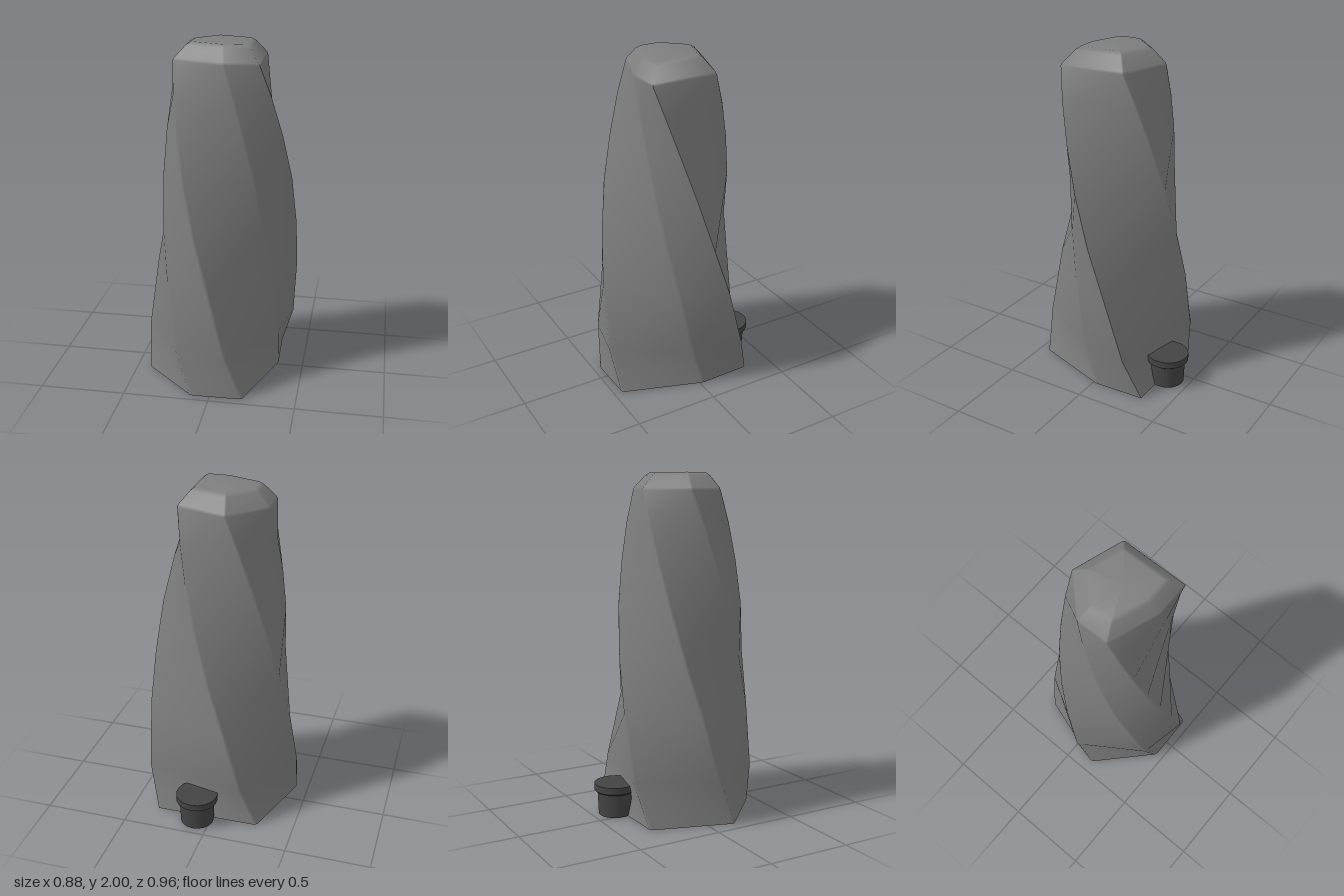
import * as THREE from 'three';
import { toCreasedNormals } from 'three/addons/utils/BufferGeometryUtils.js';

// Six-cornered footprint (x, z), counter-clockwise seen from above
const CORNERS = [[0.37, 0.33], [0.36, -0.29], [-0.11, -0.44], [-0.415, -0.12], [-0.41, 0.18], [0.06, 0.34]];
const AXIS = [0.01, 0.04];
const BEVEL = 0.012;

// Height and scale of each ring; the rings after the shoulder form the soft chamfer
const RINGS = [
  [0, 1], [0.26, 1], [0.64, 0.935], [0.94, 0.872], [1.24, 0.812], [1.5, 0.742], [1.72, 0.683],
  [1.9, 0.637], [1.915, 0.62], [1.982, 0.47], [2, 0.4],
];
const SHOULDER = 7;

// Point at a short distance from one corner towards another
function towards([x, z], [x2, z2]) {
  const t = BEVEL / Math.hypot(x2 - x, z2 - z);
  return [x + (x2 - x) * t, z + (z2 - z) * t];
}

// First corner is sharp (listed at both ends); the others are slightly bevelled
const SECTION = [
  CORNERS[0],
  ...CORNERS.slice(1).flatMap((c, i) => [towards(c, CORNERS[i]), towards(c, CORNERS[(i + 2) % CORNERS.length])]),
  CORNERS[0],
];

// Section scaled and turned in equal steps, a quarter turn from base to shoulder
function ringPoints([y, scale], j) {
  const a = -Math.PI / 2 * (1 - Math.min(j / SHOULDER, 1));
  const c = Math.cos(a) * scale, s = Math.sin(a) * scale;
  return SECTION.flatMap(([x, z]) => [AXIS[0] + x * c - z * s, y, AXIS[1] + x * s + z * c]);
}

function twistedBody() {
  const n = SECTION.length;
  const positions = [...RINGS.flatMap(ringPoints), AXIS[0], 2, AXIS[1]];
  const index = [];
  for (let j = 0; j < RINGS.length - 1; j++) {
    for (let i = 0; i < n - 1; i++) {
      const a = j * n + i, b = a + 1;
      // Lowest band folds inward, the bands above bulge outward
      if (j === 0) index.push(a, b, a + n, b, b + n, a + n);
      else index.push(a, b, b + n, a, b + n, a + n);
    }
  }
  // Flat top shares its rim; the base has its own rim for a hard edge
  const top = (RINGS.length - 1) * n, centre = top + n, base = centre + 1;
  positions.push(...ringPoints(RINGS[0], 0));
  for (let i = 0; i < n - 1; i++) {
    index.push(centre, top + i, top + i + 1);
    if (i > 0) index.push(base, base + i + 1, base + i);
  }
  const geometry = new THREE.BufferGeometry();
  geometry.setAttribute('position', new THREE.Float32BufferAttribute(positions, 3));
  geometry.setIndex(index);
  geometry.computeVertexNormals();

  // Soften the sharp corner above the shoulder
  const normals = geometry.attributes.normal;
  for (let j = SHOULDER + 1; j < RINGS.length; j++) {
    const first = j * n, last = first + n - 1;
    const v = new THREE.Vector3().fromBufferAttribute(normals, first)
      .add(new THREE.Vector3().fromBufferAttribute(normals, last)).normalize();
    for (const k of [first, last]) normals.setXYZ(k, v.x, v.y, v.z);
  }
  return geometry;
}

export function createModel() {
  const model = new THREE.Group();
  model.name = 'twistedTower';

  const add = (name, geometry, material, x = 0, y = 0, z = 0) => {
    const mesh = new THREE.Mesh(geometry, material);
    mesh.name = name;
    mesh.position.set(x, y, z);
    model.add(mesh);
  };

  const bodyGrey = new THREE.MeshStandardMaterial({ color: 0x7e7e7e });
  const darkGrey = new THREE.MeshStandardMaterial({ color: 0x444444 });

  add('twistedBody', twistedBody(), bodyGrey);

  // Small capped stub at the back of the base
  add('backStub', new THREE.CylinderGeometry(0.106, 0.1, 0.15, 18), darkGrey, 0.08, 0.076, -0.36);
  const capProfile = [[0, 0], [0.112, 0], [0.125, 0.01], [0.125, 0.05], [0, 0.05]].map(([r, y]) => new THREE.Vector2(r, y));
  const cap = toCreasedNormals(new THREE.LatheGeometry(capProfile, 18), 0.6);
  add('backStubCap', cap, darkGrey, 0.08, 0.14, -0.36);

  return model;
}
